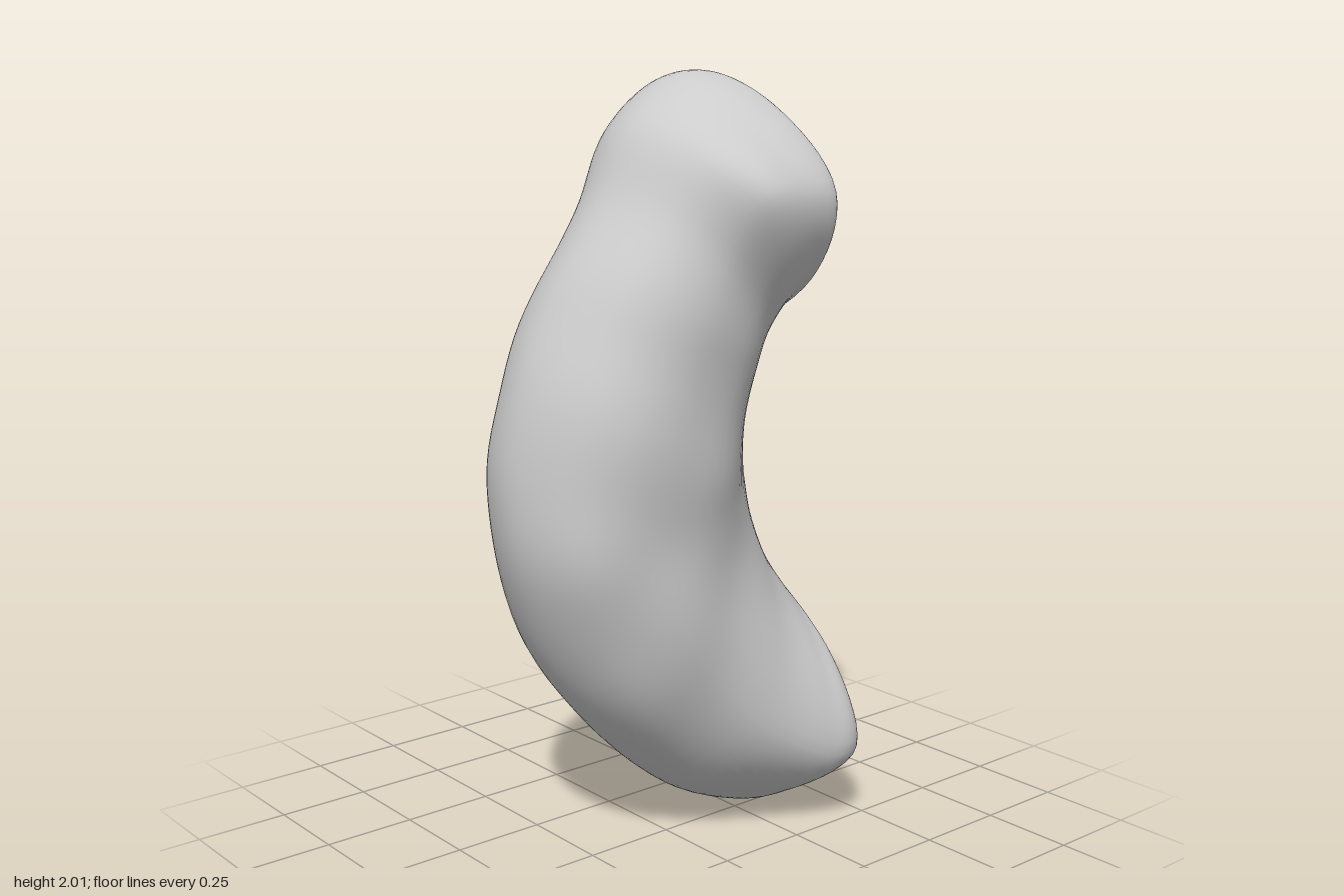
import * as THREE from 'three';

// Sections from the upper cut to the lower cut, each spanning the bend's outer to inner edge:
// outer x, outer y, inner x, inner y, front z, where front peaks (0..1), back z, edge z,
// fullness of the outer shoulder at the front and at the back (0..1)
const SECTIONS = [
  [0.225, 1.95, 0.275, 1.37, 0.325, 0.36, -0.235, -0.07, 0.60, 0.80],
  [0.16, 2.00, 0.27, 1.36, 0.385, 0.45, -0.27, -0.05, 0.55, 0.78],
  [0.03, 1.98, 0.265, 1.35, 0.39, 0.42, -0.255, -0.04, 0.55, 0.75],
  [-0.12, 1.87, 0.26, 1.32, 0.38, 0.32, -0.235, -0.02, 0.58, 0.75],
  [-0.22, 1.69, 0.255, 1.28, 0.30, 0.38, -0.205, 0, 0.68, 0.75],
  [-0.36, 1.48, 0.24, 1.22, 0.285, 0.42, -0.20, 0, 0.70, 0.80],
  [-0.46, 1.25, 0.23, 1.15, 0.285, 0.42, -0.20, 0, 0.70, 0.85],
  [-0.50, 1.00, 0.23, 1.06, 0.28, 0.40, -0.215, 0, 0.68, 0.87],
  [-0.46, 0.74, 0.24, 0.96, 0.265, 0.36, -0.235, 0, 0.70, 0.87],
  [-0.30, 0.43, 0.265, 0.87, 0.26, 0.34, -0.285, -0.02, 0.68, 0.80],
  [0.00, 0.13, 0.31, 0.77, 0.265, 0.34, -0.345, -0.04, 0.55, 0.76],
  [0.27, 0.00, 0.36, 0.69, 0.305, 0.33, -0.39, -0.06, 0.48, 0.74],
  [0.41, 0.015, 0.385, 0.65, 0.31, 0.32, -0.39, -0.08, 0.48, 0.74],
  [0.495, 0.07, 0.40, 0.62, 0.25, 0.29, -0.35, -0.14, 0.52, 0.74],
];
const STEPS = 90, AROUND = 64;

// Eight guide points round one section
function guidePoints([ox, oy, ix, iy, front, peak, back, edge, frontFull, backFull]) {
  const at = (t, z) => new THREE.Vector3(ox + (ix - ox) * t, oy + (iy - oy) * t, z);
  const side = (z, t, full) => [
    at(t * 0.27, edge + (z - edge) * full),
    at(t, z),
    at(t + (1 - t) * 0.62, edge + (z - edge) * 0.74),
  ];
  return [at(0, edge), ...side(front, peak, frontFull), at(1, edge), ...side(back, 0.4, backFull).reverse()];
}

// Rings of the bent body, swept smoothly through the sections
function makeRings() {
  const guides = SECTIONS.map(guidePoints);
  const rails = guides[0].map((_, k) =>
    new THREE.CatmullRomCurve3(guides.map((g) => g[k]), false, 'catmullrom', 0.5));
  return Array.from({ length: STEPS + 1 }, (_, i) => {
    const loop = new THREE.CatmullRomCurve3(rails.map((r) => r.getPoint(i / STEPS)), true, 'centripetal');
    const ring = Array.from({ length: AROUND }, (_, j) => loop.getPoint(j / AROUND));
    // Soft uneven swelling, fading out at both cuts
    const fade = 0.009 * Math.sin((Math.PI * i) / STEPS);
    ring.forEach((p) => {
      p.z += fade * Math.sin(p.x * 13 + p.y * 5) * Math.sin(p.y * 11 - p.x * 4);
    });
    return ring;
  });
}

function toGeometry(points, index) {
  const geometry = new THREE.BufferGeometry().setFromPoints(points);
  geometry.setIndex(index);
  geometry.computeVertexNormals();
  return geometry;
}

function skinGeometry(rings) {
  const index = [];
  for (let i = 0; i < STEPS; i++) {
    for (let j = 0; j < AROUND; j++) {
      const a = i * AROUND + j, b = i * AROUND + ((j + 1) % AROUND);
      index.push(a, a + AROUND, b, b, a + AROUND, b + AROUND);
    }
  }
  return toGeometry(rings.flat(), index);
}

// Slightly dished cut face closing one end
function cutGeometry(ring, flip) {
  const centre = ring.reduce((sum, p) => sum.add(p), new THREE.Vector3()).divideScalar(AROUND);
  centre.x -= 0.012;
  const index = [];
  for (let j = 0; j < AROUND; j++) {
    const a = j + 1, b = ((j + 1) % AROUND) + 1;
    index.push(0, flip ? b : a, flip ? a : b);
  }
  return toGeometry([centre, ...ring], index);
}

export function createModel() {
  const group = new THREE.Group();
  group.name = 'curvedBone';
  const material = new THREE.MeshStandardMaterial({ color: 0xcccccc, roughness: 0.8 });
  const add = (name, geometry) => {
    const mesh = new THREE.Mesh(geometry, material);
    mesh.name = name;
    group.add(mesh);
  };
  const rings = makeRings();
  add('curvedBody', skinGeometry(rings));
  add('upperCutFace', cutGeometry(rings[0], false));
  add('lowerCutFace', cutGeometry(rings[STEPS], true));
  return group;
}
